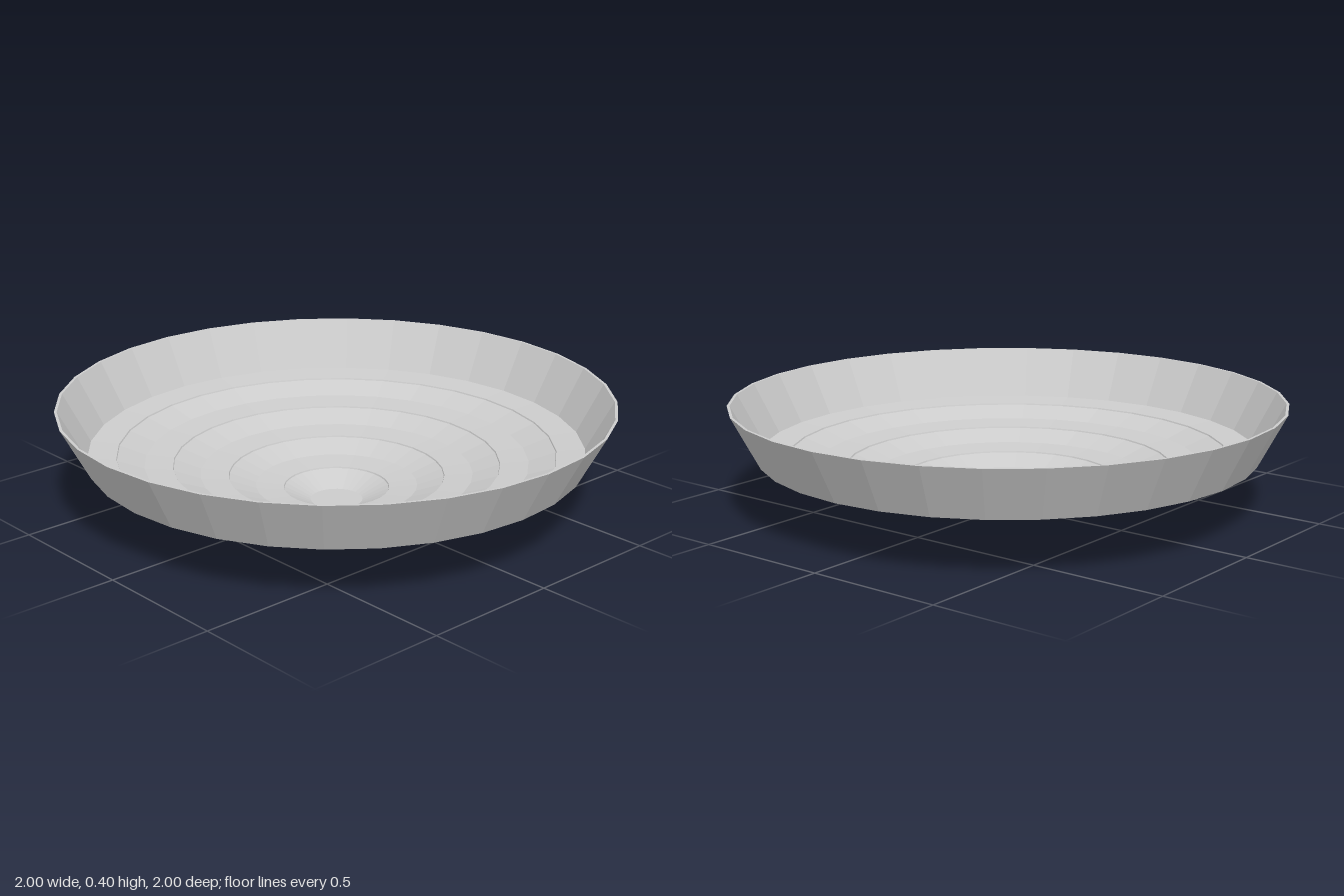
import * as THREE from 'three';

const SIDES = 32;
const WALL = 0.01;

export function createModel() {
  const group = new THREE.Group();
  group.name = 'terracedDish';
  const material = new THREE.MeshStandardMaterial({ color: 0xcccccc, flatShading: true });

  // Underside: flat foot, then four sloped risers, each followed by a shallow tread
  const outer = [[0, 0], [0.1, 0]];
  for (let i = 1; i <= 4; i++) {
    outer.push([0.2 * i - 0.005, 0.05 * i], [0.2 * i + 0.1, 0.05 * i + 0.01]);
  }
  outer.push([1, 0.4]);

  // Inside: the same terraces one wall thickness up, with a tiny lip above each riser
  const inner = [[0, WALL], [0.095, WALL]];
  for (let i = 1; i <= 4; i++) {
    const r = 0.2 * i - 0.01;
    const y = 0.05 * i;
    inner.push([r, y + 0.005], [r + 0.002, y + WALL], [0.2 * i + 0.094, y + 0.01 + WALL]);
  }
  inner.push([0.99, 0.4]);

  // Closed thin shell: up the outside, over the rim and back down the inside
  const profile = [...outer, ...inner.reverse()].map(([r, y]) => new THREE.Vector2(r, y));
  const dish = new THREE.Mesh(new THREE.LatheGeometry(profile, SIDES), material);
  dish.name = 'dishShell';
  group.add(dish);

  return group;
}
